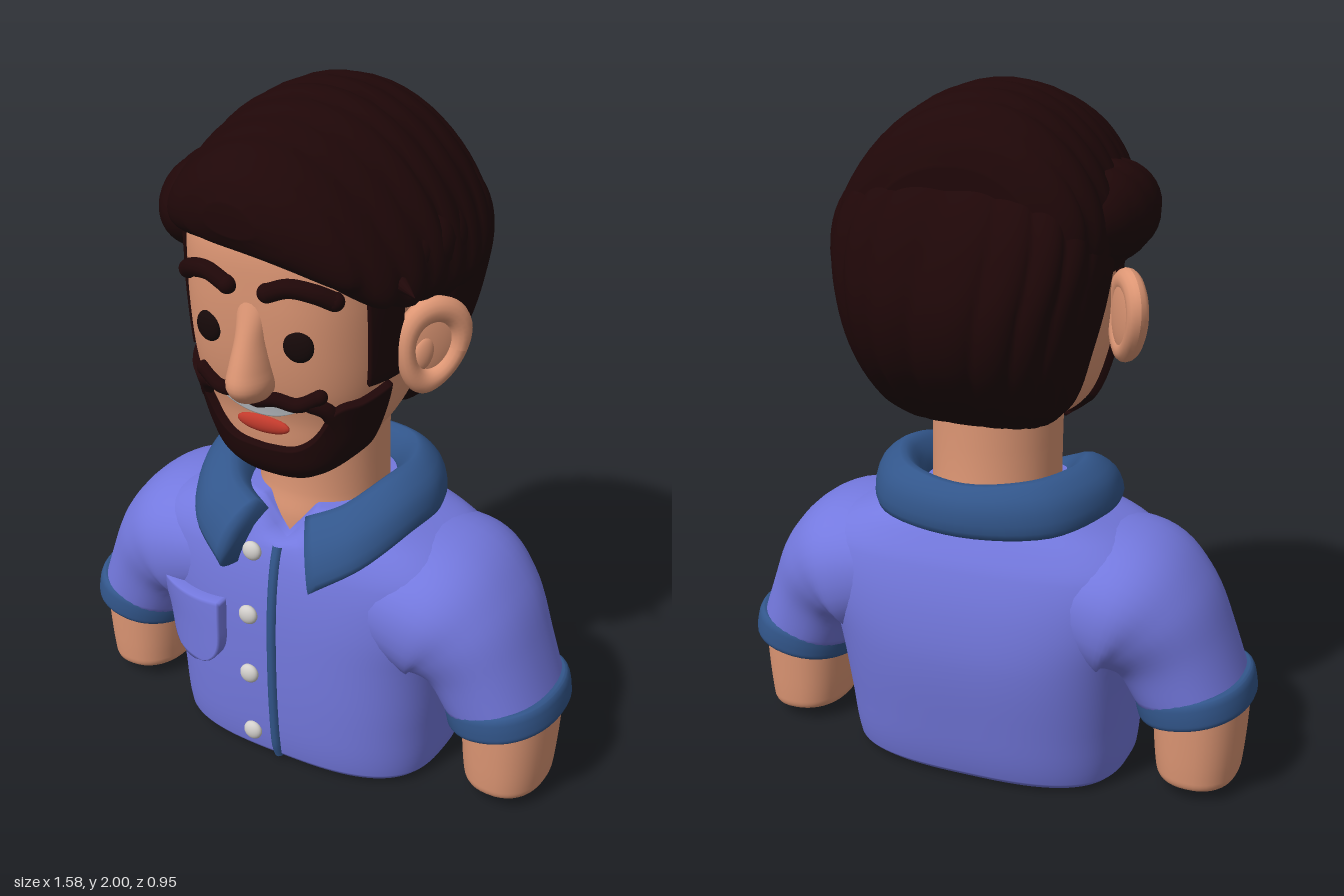
import * as THREE from 'three';
import { mergeVertices } from 'three/addons/utils/BufferGeometryUtils.js';

const paint = (name, color, side = THREE.FrontSide) => {
  const m = new THREE.MeshStandardMaterial({ color, side });
  m.name = name;
  return m;
};
const spow = (v, e) => Math.sign(v) * Math.pow(Math.abs(v), e);
const clamp01 = (v) => Math.min(1, Math.max(0, v));

// Smooth lookup in rows of [parameter, ...values], parameter ascending
function at(keys, p) {
  const last = keys.length - 1;
  p = Math.min(keys[last][0], Math.max(keys[0][0], p));
  let i = 0;
  while (i < last - 1 && p > keys[i + 1][0]) i++;
  const h = keys[i + 1][0] - keys[i][0], t = (p - keys[i][0]) / h;
  const slope = (j, c) => {
    const a = keys[Math.max(0, j - 1)], b = keys[Math.min(last, j + 1)];
    return (b[c] - a[c]) / (b[0] - a[0]);
  };
  return keys[i].slice(1).map((v, k) => {
    const c = k + 1, s = t * t * (3 - 2 * t);
    return v + (keys[i + 1][c] - v) * s
      + h * (t * (1 - t) * (1 - t) * slope(i, c) - t * t * (1 - t) * slope(i + 1, c));
  });
}

// Smooth mesh from a grid of rows; faces are turned to point outward
function gridGeometry(f, nu, nv) {
  const pos = [], idx = [];
  for (let i = 0; i <= nu; i++) for (let j = 0; j <= nv; j++) pos.push(...f(i, j));
  for (let i = 0; i < nu; i++) for (let j = 0; j < nv; j++) {
    const a = i * (nv + 1) + j, b = a + nv + 1;
    idx.push(a, b, a + 1, b, b + 1, a + 1);
  }
  const P = (i) => new THREE.Vector3(pos[3 * i], pos[3 * i + 1] - 1, pos[3 * i + 2]);
  let volume = 0;
  for (let i = 0; i < idx.length; i += 3) volume += P(idx[i]).dot(P(idx[i + 1]).cross(P(idx[i + 2])));
  if (volume < 0) idx.reverse();
  let g = new THREE.BufferGeometry();
  g.setAttribute('position', new THREE.Float32BufferAttribute(pos, 3));
  g.setIndex(idx);
  g = mergeVertices(g, 1e-5);
  g.computeVertexNormals();
  return g;
}

// Closed loft: place(parameter, values, c, s, angle) puts a superellipse point
function loft(keys, place, n = 2, sub = 5, nv = 40) {
  const rows = [];
  for (let i = 0; i < keys.length - 1; i++)
    for (let k = 0; k < sub; k++) rows.push(keys[i][0] + (keys[i + 1][0] - keys[i][0]) * k / sub);
  rows.push(keys[keys.length - 1][0]);
  return gridGeometry((i, j) => {
    const p = rows[Math.min(rows.length - 1, Math.max(0, i - 1))];
    const a = (j % nv) / nv * Math.PI * 2, r = i === 0 || i > rows.length ? 0 : 1;
    return place(p, at(keys, p), r * spow(Math.cos(a), 2 / n), r * spow(Math.sin(a), 2 / n), a);
  }, rows.length + 1, nv);
}
const upright = (y, [hw, zc, hz], c, s) => [hw * c, y, zc + hz * s];

// Padded panel on a surface, its rim tucked under
const panel = (f, d, nu = 16, nv = 16) => gridGeometry((i, j) => {
  const rim = i === 0 || j === 0 || i === nu || j === nv;
  return f(clamp01((i - 1) / (nu - 2)), clamp01((j - 1) / (nv - 2)), rim ? -0.006 : d);
}, nu, nv);

// Body sections: y, half width, z centre, half depth
const TORSO = [[.004, .4, .025, .25], [.03, .42, .022, .275], [.2, .435, .012, .303], [.4, .46, 0, .32],
  [.55, .51, 0, .315], [.68, .525, .005, .292], [.76, .44, .01, .26], [.82, .29, .01, .225], [.86, .2, .01, .2]];
const HEAD = [[.985, .045, .245, .025], [1, .1, .24, .05], [1.04, .165, .208, .107], [1.1, .225, .13, .198], [1.18, .265, .09, .25],
  [1.28, .292, .07, .3], [1.4, .303, .06, .33], [1.55, .308, .05, .35], [1.7, .3, .04, .35], [1.82, .23, .03, .29], [1.9, .05, .02, .1]];
const TN = 2.9, HN = 2.7;
const frontPoint = (keys, n) => (x, y, off = 0) => {
  const [hw, zc, hz] = at(keys, y);
  return [x, y, zc + hz * Math.pow(Math.max(0, 1 - Math.pow(Math.abs(x / hw), n)), 1 / n) + off];
};
const chestPoint = frontPoint(TORSO, TN), facePoint = frontPoint(HEAD, HN);
const headPoint = (a, y, off) => {
  const [hw, zc, hz] = at(HEAD, y);
  return [(hw + off) * spow(Math.sin(a), 2 / HN), y - off * .3, zc + (hz + off) * spow(Math.cos(a), 2 / HN)];
};
const angleAtZ = (z, y) => {
  const [, zc, hz] = at(HEAD, y);
  return Math.acos(spow(Math.max(-1, Math.min(1, (z - zc) / hz)), HN / 2));
};
const tube = (pts, r, seg = 24) => new THREE.TubeGeometry(
  new THREE.CatmullRomCurve3(pts.map((p) => new THREE.Vector3(...p))), seg, r, 10);

export function createModel() {
  const model = new THREE.Group();
  const shirt = paint('shirt violet', 0x7479df), trim = paint('trim blue', 0x32568b), skin = paint('skin', 0xdd9674);
  const hair = paint('dark brown hair', 0x1f0708, THREE.DoubleSide), black = paint('eye black', 0x160909);
  const red = paint('lip red', 0xc23a2c), white = paint('teeth grey', 0xc4c9ce, THREE.DoubleSide);
  const pearl = paint('button pearl', 0xd3d0cc);
  const add = (name, geo, mat, parent = model) => {
    const m = new THREE.Mesh(geo, mat);
    m.name = name;
    parent.add(m);
    return m;
  };
  const ball = (name, mat, p, s, parent) => {
    const m = add(name, new THREE.SphereGeometry(1, 24, 16), mat, parent);
    m.position.set(...p);
    m.scale.set(...s);
    return m;
  };

  // Shirt body with a V notch at the throat, skin underside and neck
  add('shirtBody', loft(TORSO, (y, [hw, zc, hz], c, s) => {
    const notch = s > .5 ? .095 * clamp01((y - .74) / .1) * Math.max(0, 1 - Math.abs(hw * c) / .085) : 0;
    return [hw * c, y - notch, zc + hz * s];
  }, TN, 5, 120), shirt);
  add('bodyUnderside', loft([[.001, .365, .025, .222], [.05, .365, .025, .222]], upright, TN, 1, 64), skin);
  add('neck', loft([[.7, .19, .01, .2], [.8, .19, .012, .2], [.88, .188, .012, .188], [1, .188, .015, .185],
    [1.2, .19, .02, .19]], upright), skin);

  // Sleeves, cuffs and arms
  const SLEEVE = [[0, .25, .6, .01, 90, .19, .275], [1, .42, .56, .005, 75, .22, .29], [2, .49, .51, .01, 45, .2, .262],
    [3, .55, .43, .018, 22, .17, .225], [4, .606, .31, .02, 11, .16, .205]];
  const CUFF = [[-.045, .156, .196], [-.038, .164, .207], [-.02, .169, .212], [.02, .169, .212], [.038, .164, .207], [.045, .15, .19]];
  const ARM = [[.035, .1, .13], [.042, .112, .143], [.065, .12, .15], [.18, .131, .157], [.32, .138, .162]];
  for (const sx of [1, -1]) {
    const side = sx > 0 ? 'left' : 'right';
    add(side + 'Sleeve', loft(SLEEVE, (p, [x, y, z, deg, h, hz], c, s) => {
      const t = deg * Math.PI / 180;
      return [sx * (x + h * c * Math.cos(t)), y + h * c * Math.sin(t), z + hz * s];
    }, 2.2, 6), shirt);
    add(side + 'Cuff', loft(CUFF, (p, [h, hz], c, s) =>
      [sx * (.618 + .19 * p + h * c * .98), .3 - .98 * p + h * c * .19, .02 + hz * s], 2.2, 3), trim);
    add(side + 'Arm', loft(ARM, (y, [h, hz], c, s) => [sx * (.634 + h * c), y - .03 * h * c, .025 + hz * s], 2.3, 4), skin);
  }

  // Folded collar: fold line and outer hem swept from one point round the back
  const fold = [[.075, .845, .25], [.17, .89, .21], [.245, .945, .09], [.26, .955, -.04], [.18, .945, -.18]];
  const hem = [[.145, .67, .355], [.27, .75, .285], [.345, .815, .13], [.355, .82, -.03], [.255, .8, -.215]];
  const sweep = (pts, back) => new THREE.CatmullRomCurve3([...pts, back,
    ...pts.slice().reverse().map(([x, y, z]) => [-x, y, z])].map((p) => new THREE.Vector3(...p)));
  const foldCurve = sweep(fold, [0, .93, -.235]), hemCurve = sweep(hem, [0, .79, -.285]);
  add('collar', gridGeometry((i, j) => {
    const u = clamp01((i - 1) / 60), T = foldCurve.getPoint(u), O = hemCurve.getPoint(u);
    const M = T.clone().add(O).multiplyScalar(.5);
    const ring = new THREE.CatmullRomCurve3([
      new THREE.Vector3(T.x * .78, T.y - .1, T.z * .78), T, new THREE.Vector3(M.x * 1.1, M.y + .02, M.z * 1.1), O,
      new THREE.Vector3(O.x * .82, O.y - .005, O.z * .82)], true);
    return (i === 0 || i === 62 ? M : ring.getPoint((j % 20) / 20)).toArray();
  }, 62, 20), trim);

  // Placket, buttons and pocket
  const placket = [];
  for (let y = .018; y < .77; y += .04) placket.push(chestPoint(0, y, -.004));
  add('placket', tube(placket, .016, 40), trim);
  for (const y of [.09, .305, .51, .71]) ball('button', pearl, chestPoint(-.076, y, .006), [.03, .03, .018]);
  add('pocket', panel((u, v, off) => {
    const w = .13 * Math.sqrt(Math.max(.02, 1 - Math.pow(Math.max(0, 1 - v / .55), 2.6)));
    return chestPoint(-.288 + w * (2 * u - 1), .29 + .23 * v + .014 * v * Math.pow(2 * u - 1, 2), off);
  }, .036, 22, 22), shirt);

  // Head and nose
  add('head', loft(HEAD, upright, HN, 5, 64), skin);
  add('nose', loft([[1.25, .02, .385, .03], [1.262, .045, .385, .062], [1.3, .062, .386, .088], [1.35, .056, .38, .084],
    [1.43, .046, .37, .064], [1.51, .05, .365, .04], [1.57, .05, .36, .025]], upright, 2, 4, 28), skin);

  // Features mirrored across the face
  for (const sx of [1, -1]) {
    const side = sx > 0 ? 'left' : 'right';
    const onFace = (pts, off) => pts.map(([x, y]) => facePoint(sx * x, y, off));
    ball(side + 'Eye', black, facePoint(sx * .137, 1.425), [.042, .043, .018]).rotation.y = sx * .2;
    const brow = onFace([[.06, 1.566], [.12, 1.588], [.18, 1.578], [.222, 1.555]], .004);
    add(side + 'Eyebrow', tube(brow, .026), hair);
    for (const p of [brow[0], brow[3]]) ball(side + 'EyebrowEnd', hair, p, [.026, .026, .026]);
    const lock = onFace([[0, 1.237], [.06, 1.255], [.12, 1.248], [.18, 1.28]], .008);
    add(side + 'Moustache', tube(lock, .021), hair);
    ball(side + 'MoustacheEnd', hair, lock[3], [.021, .021, .021]);
    add(side + 'MoustacheLink', tube(onFace([[.15, 1.255], [.185, 1.235], [.2, 1.19]], .004), .024), hair);
    add(side + 'Sideburn', panel((u, v, off) => {
      const y = 1.3 + .38 * v;
      return headPoint(sx * angleAtZ(.14 + u * (.11 + .03 * v), y), y, off);
    }, .011), hair);

    // Ear: hollow bowl with a thick rim, wider at the top
    const ear = new THREE.Group();
    ear.name = side + 'Ear';
    ear.position.set(sx * .361, 1.365, .073);
    ear.rotation.set(0, sx * .93, -sx * .24);
    model.add(ear);
    const rim = new THREE.TorusGeometry(.74, .26, 14, 40), rp = rim.attributes.position;
    for (let i = 0; i < rp.count; i++) rp.setX(i, rp.getX(i) * (1 + .22 * rp.getY(i)));
    rim.computeVertexNormals();
    add('earRim', rim, skin, ear).scale.set(.106, .138, .12);
    ball('earBowl', skin, [sx * .004, .01, -.012], [.086, .115, .022], ear);
    ball('earFold', skin, [-sx * .02, -.025, .002], [.03, .05, .016], ear);
  }

  // Beard wrapping the jaw, rising toward the ears
  const BEARD = [[0, 1.092], [.22, 1.105], [.38, 1.15], [.52, 1.24], [.75, 1.262], [1, 1.29]];
  add('beard', panel((u, v, off) => {
    const s = 2 * u - 1, low = .99 + .1 * Math.pow(Math.abs(s), 3);
    const y = low + (at(BEARD, Math.abs(s))[0] - low) * v;
    return headPoint(s * angleAtZ(.175, y), y, off);
  }, .02, 56, 24), hair);

  // Smile
  add('teeth', panel((u, v, off) => {
    const x = .115 * (2 * u - 1), e = Math.pow(2 * u - 1, 2);
    return facePoint(x, 1.188 + .035 * e + v * (.05 - .03 * e), off);
  }, .009), white);
  ball('lowerLip', red, facePoint(0, 1.156, .002), [.082, .026, .016]);

  // Back hair with upright strands
  add('backHair', loft([[1.085, .15, -.12, .06], [1.1, .21, -.12, .11], [1.16, .268, -.132, .18], [1.3, .315, -.164, .262],
    [1.45, .35, -.168, .3], [1.6, .37, -.168, .275], [1.72, .34, -.16, .225], [1.8, .26, -.14, .16], [1.84, .12, -.13, .08]],
  (y, [hw, zc, hz], c, s, a) => {
    const r = .975 + .045 * Math.pow(Math.abs(Math.sin(a * 9 + 2.5 * (y - 1.1))), .7);
    return [hw * c * r, y, zc + hz * s * r];
  }, 2.6, 5, 180), hair);

  // Swept top hair, strands running across and falling toward the left side
  const ridge = (z) => .95 + .062 * Math.pow(Math.abs(Math.sin(z * 31)), .6);
  add('topHair', loft([[-.345, 0, 1.72, .22, .1], [-.32, 0, 1.72, .31, .17], [-.26, 0, 1.735, .365, .22], [-.15, .01, 1.74, .388, .252],
    [0, .02, 1.75, .386, .253], [.1, .025, 1.76, .375, .235], [.25, .03, 1.785, .345, .173], [.38, .025, 1.79, .275, .128],
    [.45, 0, 1.775, .175, .088], [.478, 0, 1.77, .07, .04]],
  (z, [cx, cy, hw, hh], c, s, a) => {
    const r = ridge(z + .05 * Math.cos(a)), x = cx + hw * c * r;
    return [x, cy + hh * s * r - (.85 + .45 * clamp01((z - .1) / .2)) * (x + .04) ** 2, z];
  }, 2.1, 9, 56), hair);

  // Side hair, fuller on the parted side
  const tuft = (name, [cx, cy, cz], [rx, ry, rz]) => add(name, gridGeometry((i, j) => {
    const t = Math.PI * i / 48, a = Math.PI * 2 * (j % 32) / 32, z = -rz * Math.cos(t);
    const r = Math.sin(t) * ridge(z + .05 * Math.sin(a));
    return [cx + rx * r * Math.cos(a), cy + ry * r * Math.sin(a), cz + z];
  }, 48, 32), hair);
  tuft('leftSideHair', [.22, 1.63, .03], [.185, .135, .25]);
  tuft('rightSideHair', [-.3, 1.66, .05], [.14, .14, .24]);
  tuft('rightTempleHair', [-.26, 1.58, .02], [.12, .1, .2]);

  // Flicked lock at the left temple
  const flick = add('hairFlick', new THREE.ConeGeometry(.05, .19, 12), hair);
  flick.position.set(.345, 1.6, .24);
  flick.quaternion.setFromUnitVectors(new THREE.Vector3(0, 1, 0), new THREE.Vector3(.8, -.12, .55).normalize());
  return model;
}
